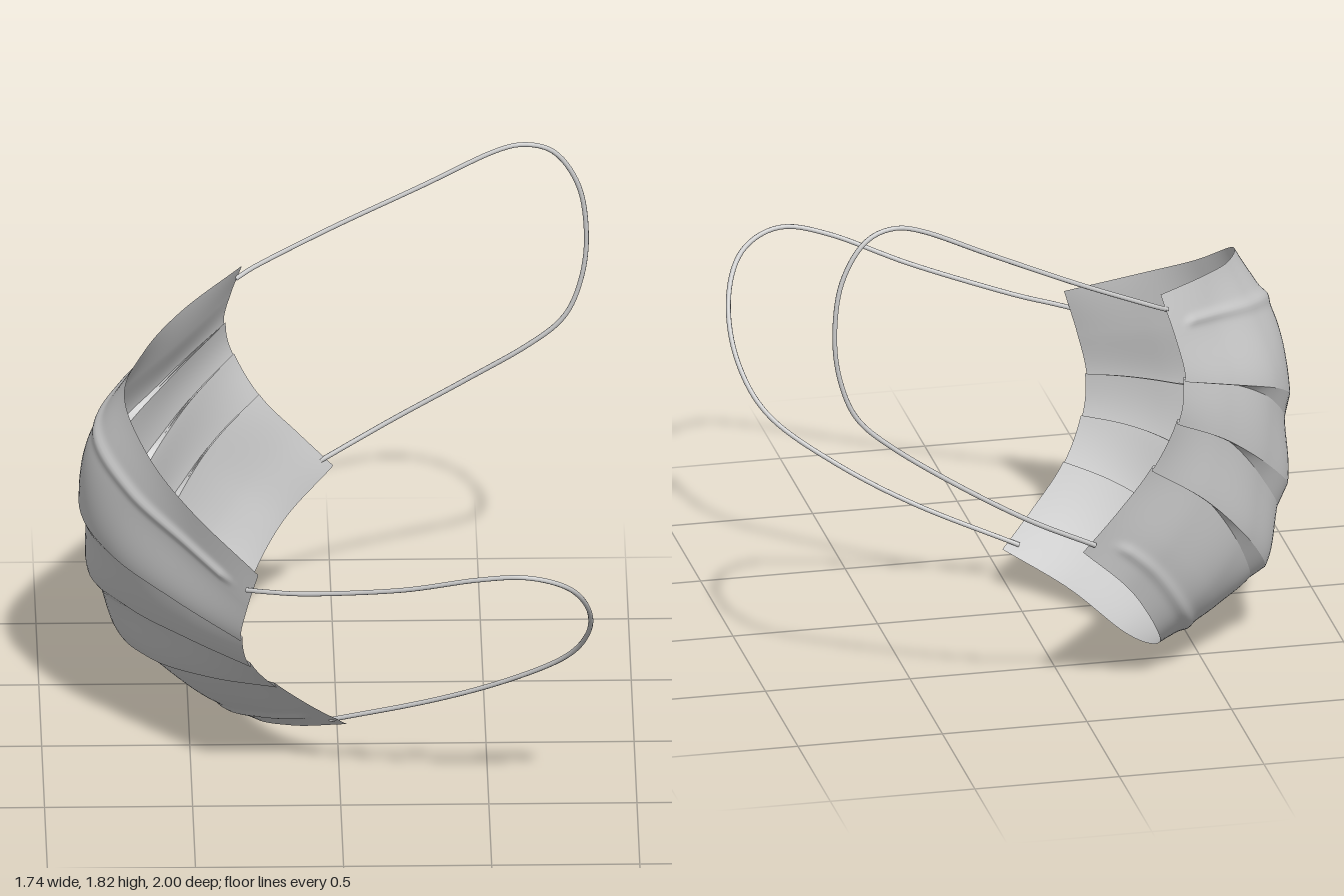
import * as THREE from 'three';

const V = (x, y, z) => new THREE.Vector3(x, y, z);
const spline = (pts) => new THREE.CatmullRomCurve3(pts, false, 'catmullrom', 0.5);
const { lerp, smoothstep } = THREE.MathUtils;

// Half cross-sections of the fabric, top hem to bottom hem, centre to side edge.
// Each point is [across, up, depth] in the mask's own tilted frame.
const ROWS = [
  [[0, 1.18, -0.72], [0.25, 1.14, -0.645], [0.48, 1.105, -0.505], [0.73, 1.06, -0.295]],
  [[0, 0.945, -0.835], [0.26, 0.93, -0.725], [0.5, 0.92, -0.525], [0.74, 0.91, -0.33]],
  [[0, 0.67, -0.86], [0.27, 0.7, -0.765], [0.52, 0.73, -0.56], [0.745, 0.76, -0.35]],
  [[0, 0.37, -0.83], [0.27, 0.45, -0.71], [0.52, 0.55, -0.52], [0.73, 0.62, -0.315]],
  [[0, 0.1, -0.73], [0.27, 0.2, -0.63], [0.51, 0.35, -0.44], [0.68, 0.47, -0.225]],
  [[0, -0.03, -0.56], [0.28, 0.04, -0.49], [0.5, 0.2, -0.325], [0.65, 0.34, -0.11]],
  [[0, -0.133, -0.34], [0.264, -0.09, -0.3], [0.47, 0.065, -0.17], [0.61, 0.212, 0.015]],
];
const COLUMNS = [0, 1, 2, 3].map((k) => spline(ROWS.map((r) => V(...r[k]))));

// Tilted mask frame to model space
const toModel = (p) => V(
  p.z + 0.02 * p.x,
  0.931 * p.y - 0.363 * (p.x - 0.497),
  0.364 * p.y + 0.93 * (p.x - 0.497),
);

// Smooth base surface: u runs -1..1 across, v runs 0..1 from top to bottom
function base(u, v) {
  const half = COLUMNS.map((c) => c.getPoint(v));
  const mirrored = half.slice(1).reverse().map((p) => V(-p.x, p.y, p.z));
  return toModel(spline([...mirrored, ...half]).getPoint((u + 1) / 2));
}

// Base surface pushed outward by a distance
function raised(u, v, d) {
  const e = 0.01;
  const du = base(Math.min(u + e, 1), v).sub(base(Math.max(u - e, -1), v));
  const dv = base(u, Math.min(v + e, 1)).sub(base(u, Math.max(v - e, 0)));
  return base(u, v).addScaledVector(dv.cross(du).normalize(), d);
}

// Raised line of a wire sewn under the outer fabric
const ridge = (u, v, at, h) =>
  h * Math.exp(-(((v - at) / 0.016) ** 2)) * smoothstep(0.9 - Math.abs(u), 0, 0.06);

// Lining sits just inside the outer fabric and meets it at the hems
const inset = (u, v) => -0.008 * (1 - u ** 8) * (1 - (2 * v - 1) ** 8);

function grid(f, nu, nt) {
  const pos = [], index = [];
  for (let j = 0; j <= nt; j++)
    for (let i = 0; i <= nu; i++) pos.push(...f((i / nu) * 2 - 1, j / nt).toArray());
  for (let j = 0; j < nt; j++)
    for (let i = 0; i < nu; i++) {
      const a = j * (nu + 1) + i, b = a + nu + 1;
      index.push(a, b, a + 1, b, b + 1, a + 1);
    }
  const g = new THREE.BufferGeometry();
  g.setAttribute('position', new THREE.Float32BufferAttribute(pos, 3));
  g.setIndex(index);
  g.computeVertexNormals();
  return g;
}

export function createModel() {
  const model = new THREE.Group();
  const fabric = new THREE.MeshStandardMaterial({ color: 0xcccccc, side: THREE.DoubleSide });
  const add = (name, geometry, parent) => {
    const mesh = new THREE.Mesh(geometry, fabric);
    mesh.name = name;
    parent.add(mesh);
  };

  // Pleated layers: folds lap at the side edges and open into slopes at the centre
  const cuts = [0, 2 / 6, 3 / 6, 4 / 6, 1];
  const depth = 0.011, nu = 64;
  const layers = {
    outerFabric: (u, v) => ridge(u, v, 0.122, 0.011) + ridge(u, v, 0.92, 0.009),
    lining: inset,
  };
  for (const [name, offset] of Object.entries(layers)) {
    const layer = new THREE.Group();
    layer.name = name;
    model.add(layer);
    const panels = cuts.slice(0, -1).map((v0, k) => (u, t) => {
      const open = lerp(0.045, -0.018, smoothstep(Math.abs(u), 0, 0.9));
      const v = lerp(k ? v0 + open : 0, cuts[k + 1], t);
      const flare = lerp(k ? -depth : 0, k < 3 ? depth : 0, smoothstep(t, 0, 1));
      return raised(u, v, flare * (1 - 0.6 * u * u) + offset(u, v));
    });
    panels.forEach((panel, k) => {
      add('panel' + (k + 1), grid(panel, nu, k % 3 ? 14 : 44), layer);
      if (k < 3) {
        const next = panels[k + 1];
        add('pleatFold' + (k + 1), grid((u, t) => panel(u, 1).lerp(next(u, 0), t), nu, 1), layer);
      }
    });
  }

  // Elastic ear loops
  const loops = {
    leftEarLoop: [
      [-0.32, 0.84, 0.585], [-0.25, 0.85, 0.625], [-0.1, 0.875, 0.7], [0.2, 0.95, 0.84], [0.45, 1.035, 0.95],
      [0.62, 1.06, 0.99], [0.76, 1.0, 0.945], [0.83, 0.87, 0.83], [0.83, 0.71, 0.68],
      [0.75, 0.56, 0.545], [0.55, 0.42, 0.425], [0.3, 0.295, 0.305], [-0.03, 0.17, 0.175],
    ],
    rightEarLoop: [
      [-0.33, 1.38, -0.765], [-0.25, 1.42, -0.795], [0, 1.535, -0.84], [0.3, 1.675, -0.862], [0.54, 1.79, -0.88],
      [0.66, 1.812, -0.89], [0.76, 1.765, -0.907], [0.835, 1.63, -0.922], [0.857, 1.45, -0.93],
      [0.838, 1.29, -0.933], [0.78, 1.15, -0.94], [0.66, 1.04, -0.955], [0.45, 0.9, -0.982],
      [0.2, 0.75, -0.99], [-0.04, 0.62, -0.95],
    ],
  };
  for (const [name, pts] of Object.entries(loops)) {
    const path = spline(pts.map((p) => V(...p)));
    add(name, new THREE.TubeGeometry(path, 120, 0.0085, 8), model);
  }
  return model;
}
